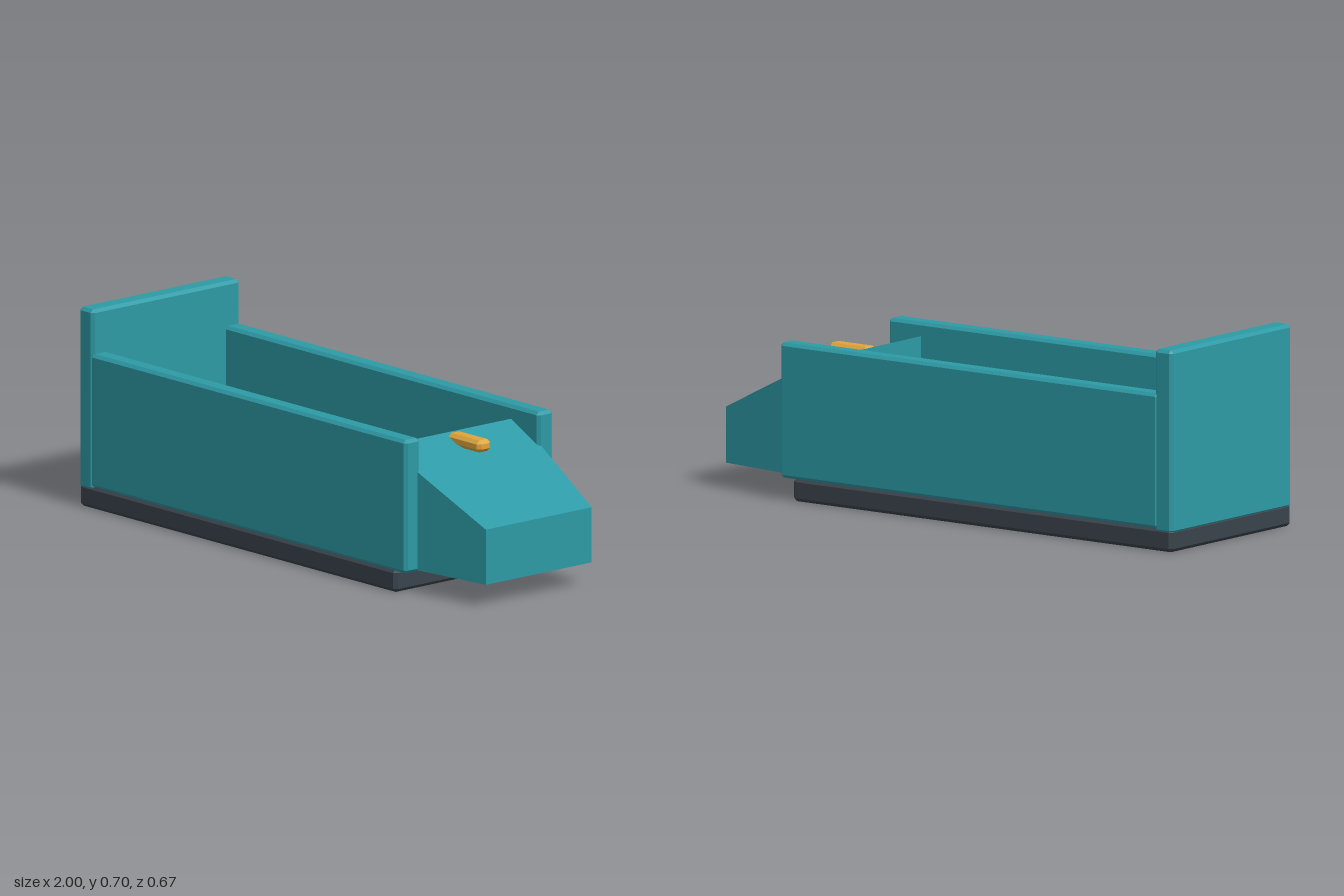
import * as THREE from 'three';
import { ConvexGeometry } from 'three/addons/geometries/ConvexGeometry.js';

const paint = (color) => new THREE.MeshStandardMaterial({ color, flatShading: true });

// Box between two corners with every edge chamfered by c
function chamferBox(min, max, c) {
  const points = [];
  for (let i = 0; i < 8; i++) {
    const high = [i & 1, i & 2, i & 4];
    for (let axis = 0; axis < 3; axis++) {
      // one point per face meeting at this corner
      const p = high.map((h, k) => {
        const inset = k === axis ? 0 : c;
        return h ? max[k] - inset : min[k] + inset;
      });
      points.push(new THREE.Vector3(...p));
    }
  }
  return new ConvexGeometry(points);
}

export function createModel() {
  const group = new THREE.Group();
  const teal = paint(0x2d9aa5);
  const dark = paint(0x3a444c);
  const amber = paint(0xe0a53c);

  const add = (name, geometry, material) => {
    const mesh = new THREE.Mesh(geometry, material);
    mesh.name = name;
    group.add(mesh);
  };

  // Floor slab, just inside the end panel's outer face
  add('base', chamferBox([-0.999, 0, -0.335], [0.64, 0.08, 0.335], 0.012), dark);

  // Tall end panel
  add('endPanel', chamferBox([-1, 0.064, -0.336], [-0.925, 0.7, 0.336], 0.011), teal);

  // Long side walls, mirrored
  for (const [name, z] of [['leftWall', 0.302], ['rightWall', -0.302]]) {
    add(name, chamferBox([-0.94, 0.076, z - 0.034], [0.694, 0.545, z + 0.034], 0.011), teal);
  }

  // Solid nose: tapers in plan and slopes down toward the tip
  const nose = [];
  for (const [x, top, halfWidth] of [[0.55, 0.497, 0.3], [1, 0.275, 0.24]]) {
    for (const z of [-halfWidth, halfWidth]) {
      nose.push(new THREE.Vector3(x, 0.081, z), new THREE.Vector3(x, top, z));
    }
  }
  add('nose', new ConvexGeometry(nose), teal);

  // Small handle set into the nose slope
  add('handle', chamferBox([0.555, 0.456, -0.03], [0.725, 0.498, 0.03], 0.012), amber);

  return group;
}
